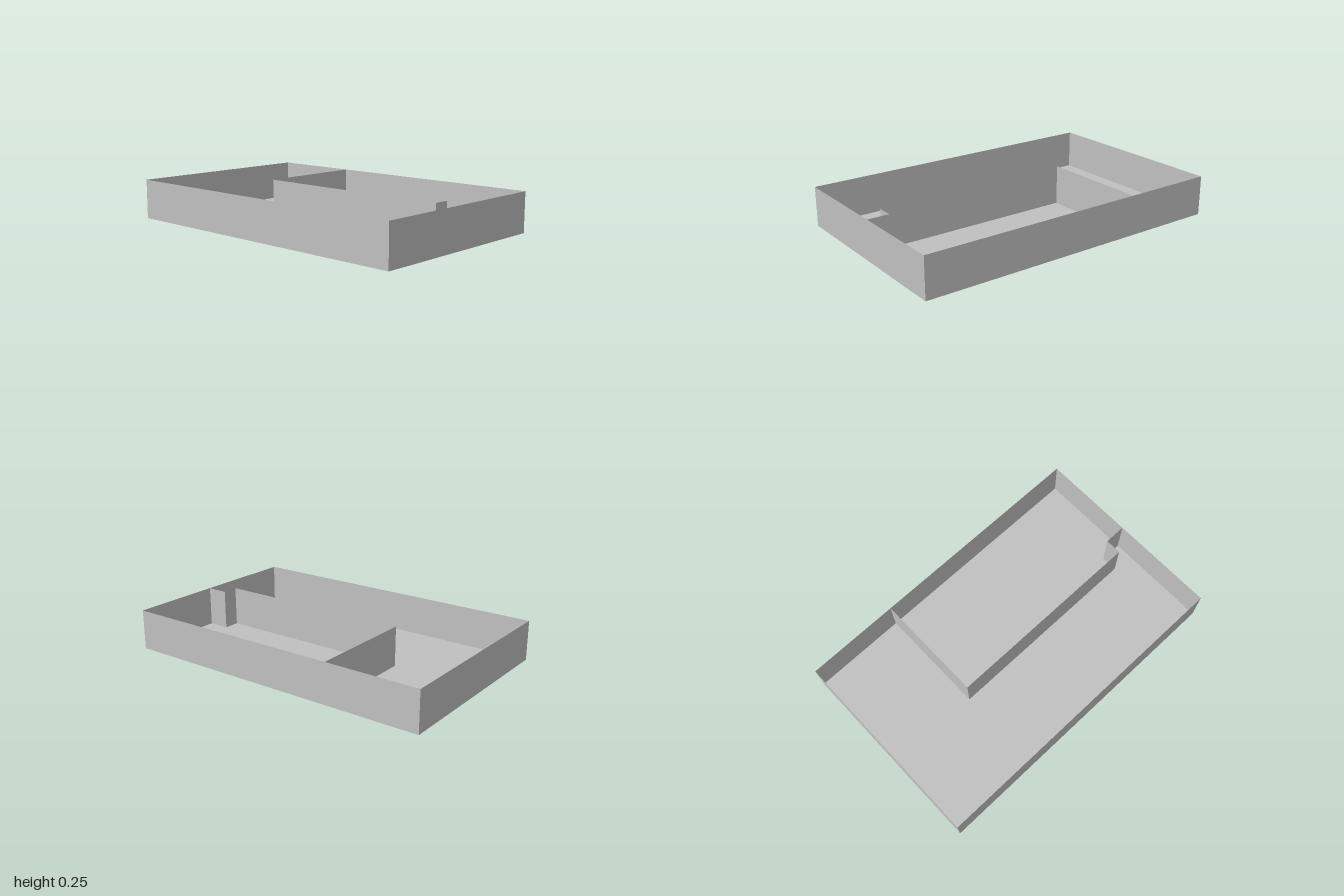
import * as THREE from 'three';

const W = 1, D = 0.625, H = 0.25; // half width, half depth, wall height

export function createModel() {
  const group = new THREE.Group();
  const grey = new THREE.MeshStandardMaterial({ color: 0xc0c0c0, side: THREE.DoubleSide });
  grey.name = 'plain grey';

  // Thin upright wall between two plan points [x, z]
  function wall(name, [x1, z1], [x2, z2]) {
    const length = Math.hypot(x2 - x1, z2 - z1);
    const mesh = new THREE.Mesh(new THREE.PlaneGeometry(length, H), grey);
    mesh.name = name;
    mesh.position.set((x1 + x2) / 2, H / 2, (z1 + z2) / 2);
    mesh.rotation.y = Math.atan2(-(z2 - z1), x2 - x1);
    group.add(mesh);
  }

  // Floor
  const floor = new THREE.Mesh(new THREE.PlaneGeometry(2 * W, 2 * D).rotateX(-Math.PI / 2), grey);
  floor.name = 'floor';
  group.add(floor);

  // Outer walls
  wall('frontWall', [-W, D], [W, D]);
  wall('leftWall', [W, D], [W, -D]);
  wall('backWall', [W, -D], [-W, -D]);
  wall('rightWall', [-W, -D], [-W, D]);

  // Stepped partition from the back wall to the left wall
  const path = [[-0.415, -D], [-0.415, 0.066], [0.864, 0.066], [0.864, -0.037], [W, -0.037]];
  for (let i = 1; i < path.length; i++) wall('partition' + i, path[i - 1], path[i]);

  return group;
}
